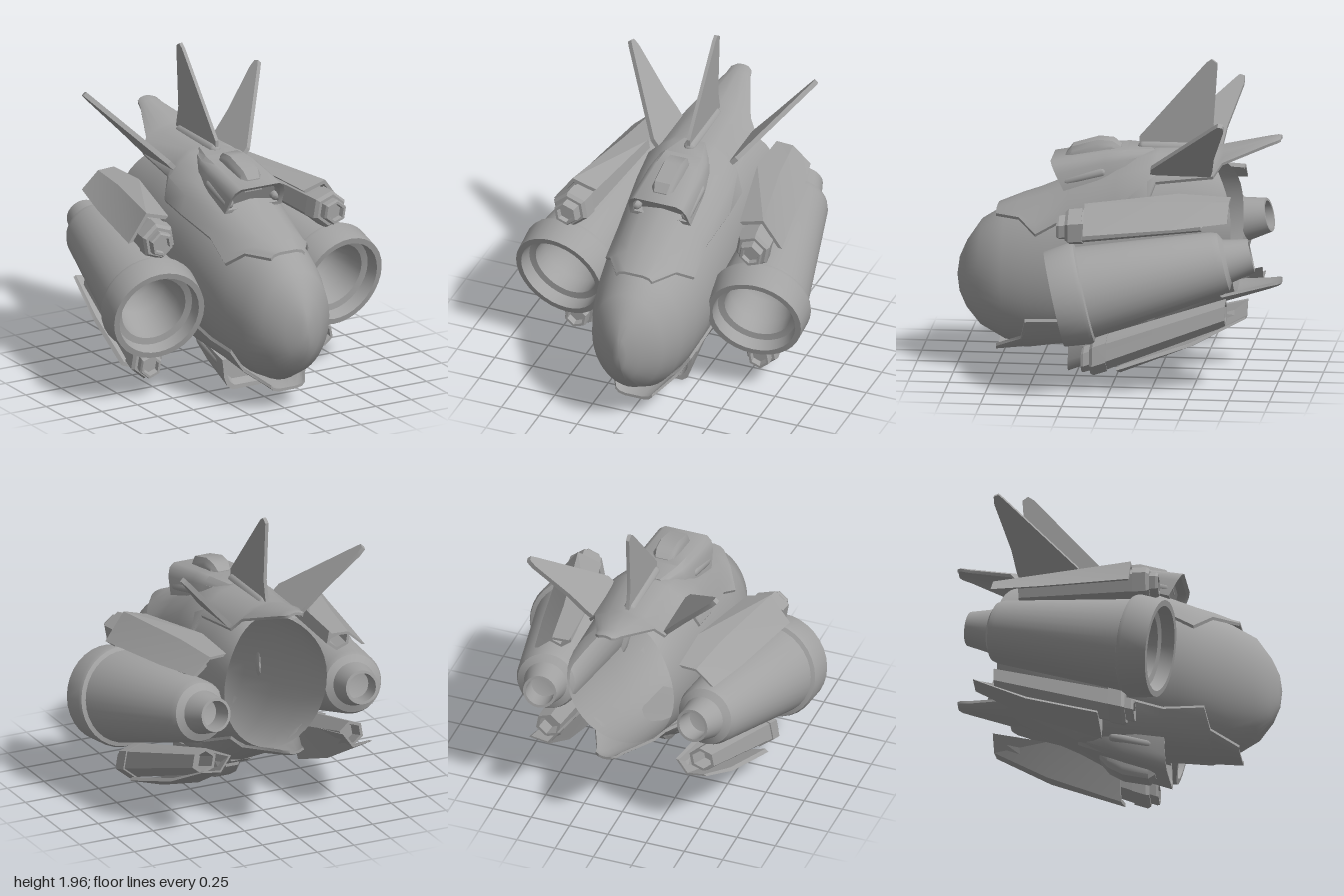
import * as THREE from 'three';
import { toCreasedNormals } from 'three/addons/utils/BufferGeometryUtils.js';

const material = new THREE.MeshStandardMaterial({ color: 0xa2a2a2, side: THREE.DoubleSide });

// Height of the tilted centre line of the ship
const axis = z => 0.57 + 0.266 * (0.75 - z);

function mesh(name, geometry, crease = 0.6) {
  const m = new THREE.Mesh(toCreasedNormals(geometry, crease), material);
  m.name = name;
  return m;
}

// Skin closed rings of [x, y, z] points; faces are turned outward by signed volume
function loft(rings, capped = true) {
  const n = rings[0].length, pts = rings.flat(), index = [];
  for (let r = 0; r < rings.length - 1; r++) {
    for (let i = 0; i < n; i++) {
      const a = r * n + i, b = r * n + (i + 1) % n;
      index.push(a, b, a + n, b, b + n, a + n);
    }
  }
  if (capped) {
    const last = (rings.length - 1) * n;
    for (let i = 0; i < n / 2 - 1; i++) {
      const [a, b, c, d] = [i, i + 1, n - 2 - i, n - 1 - i];
      index.push(a, c, b, a, d, c);
      index.push(last + a, last + b, last + c, last + a, last + c, last + d);
    }
  }
  const v = pts.map(p => new THREE.Vector3(...p));
  const origin = new THREE.Box3().setFromPoints(v).getCenter(new THREE.Vector3());
  v.forEach(p => p.sub(origin));
  let volume = 0;
  for (let i = 0; i < index.length; i += 3) {
    volume += v[index[i]].dot(v[index[i + 1]].clone().cross(v[index[i + 2]]));
  }
  if (volume < 0) index.reverse();
  const g = new THREE.BufferGeometry();
  g.setAttribute('position', new THREE.Float32BufferAttribute(pts.flat(), 3));
  g.setIndex(index);
  return g;
}

// Egg-shaped hull, open at the back: z, centre y, half width, half height, cut-back of the upper rim
function hull() {
  const rows = [
    [1, 0.57, 0, 0, 0], [0.985, 0.57, 0.045, 0.11, 0], [0.94, 0.575, 0.125, 0.21, 0], [0.85, 0.59, 0.235, 0.33, 0],
    [0.7, 0.595, 0.295, 0.42, 0], [0.55, 0.62, 0.33, 0.46, 0], [0.4, 0.66, 0.35, 0.49, 0], [0, 0.77, 0.355, 0.53, 0],
    [-0.4, 0.87, 0.355, 0.49, 0], [-0.72, 0.92, 0.35, 0.41, 0.13]];
  const rings = rows.map(([z, c, w, h, cut]) => Array.from({ length: 40 }, (_, i) => {
    const t = i / 40 * Math.PI * 2;
    return [w * Math.cos(t), c + h * Math.sin(t), z + cut * Math.max(0, Math.sin(t)) ** 3];
  }));
  return mesh('hull', loft(rings, false), 0.9);
}

// Long armour shell over the hull; sign -1 gives the belly one with a steeper front corner
function armour(sign) {
  const [neck, corner] = sign > 0 ? [0.6, 0.49] : [0.585, 0.555];
  const rows = [
    [0.75, [0, 0.45], [0.06, 0.45], [0.10, 0.44], [0.11, 0.43], [0.12, 0.42]],
    [neck, [0, 0.48], [0.10, 0.465], [0.17, 0.42], [0.20, 0.40], [0.22, 0.385]],
    [corner, [0, 0.49], [0.12, 0.47], [0.20, 0.41], [0.26, 0.33], [0.295, 0.27]],
    [0.3, [0, 0.53], [0.13, 0.50], [0.20, 0.45], [0.26, 0.38], [0.29, 0.33]],
    [0, [0, 0.58], [0.13, 0.565], [0.22, 0.50], [0.29, 0.43], [0.325, 0.32]],
    [-0.2, [0, 0.59], [0.14, 0.57], [0.22, 0.51], [0.295, 0.44], [0.325, 0.30]],
    [-0.25, [0, 0.585], [0.13, 0.56], [0.20, 0.51], [0.25, 0.46], [0.275, 0.42]],
    [-0.6, [0, 0.50], [0.11, 0.475], [0.18, 0.42], [0.23, 0.385], [0.25, 0.365]],
    [-0.65, [0, 0.495], [0.10, 0.475], [0.15, 0.45], [0.18, 0.435], [0.195, 0.425]],
    [-0.92, [0, 0.48], [0.04, 0.475], [0.06, 0.465], [0.075, 0.455], [0.08, 0.45]],
    [-0.975, [0, 0.475], [0.03, 0.472], [0.05, 0.465], [0.06, 0.46], [0.067, 0.455]],
    [-0.995, [0, 0.468], [0.02, 0.466], [0.03, 0.463], [0.038, 0.46], [0.042, 0.456]]];
  const rings = rows.map(([z, ...half]) => {
    const outer = [...half.slice(1).reverse().map(([x, d]) => [-x, d]), ...half];
    const inner = outer.map(([x, d]) => [x * 0.97, d - 0.018]).reverse();
    return [...outer, ...inner].map(([x, d]) => [x, axis(z) + sign * d, z]);
  });
  return mesh(sign > 0 ? 'topArmour' : 'bellyArmour', loft(rings), 0.7);
}

// Hooded cowl with a recessed front, a raised block and side pods
function cowl(sign, shellShift, blockShift, slope) {
  const group = new THREE.Group();
  group.name = sign > 0 ? 'topCowl' : 'bellyCowl';
  const ring = (z, w, top, base, slant = 0) => {
    const half = [[w, base], [0.95 * w, base + 0.6 * (top - base)], [0.85 * w, top - 0.025], [0.68 * w, top]];
    return [...half.map(([x, d]) => [-x, d]), ...half.reverse()].map(([x, d]) => {
      const pz = z + slant * (d - base);
      return [x, axis(pz) + sign * d, pz];
    });
  };
  const s = shellShift, b = blockShift;
  group.add(mesh('cowlShell', loft([
    ring(0.28 + s, 0.165, 0.635, 0.50, slope), ring(0.325 + s, 0.175, 0.65, 0.50, slope),
    ring(0.325 + s, 0.2, 0.675, 0.48, slope), ring(0.05 + s, 0.19, 0.65, 0.50, 0.2),
    ring(-0.05 + s, 0.175, 0.63, 0.50), ring(-0.22 + s, 0.1, 0.585, 0.52)]), 0.7));
  group.add(mesh('cowlBlock', loft([
    ring(0.33 + b, 0.06, 0.675, 0.6), ring(0.29 + b, 0.075, 0.715, 0.6), ring(0.13 + b, 0.078, 0.72, 0.6),
    ring(0.04 + b, 0.075, 0.69, 0.6), ring(-0.01 + b, 0.06, 0.64, 0.58)])));
  for (const x of [-0.165, 0.165]) {
    const pod = mesh('cowlPod', new THREE.CapsuleGeometry(0.033, 0.22, 4, 12));
    pod.rotation.x = Math.PI / 2 + 0.28;
    pod.position.set(x, axis(0.2 + b) + sign * 0.535, 0.2 + b);
    group.add(pod);
  }
  return group;
}

// Thin fin from an outline of [distance back, height]
function finGeometry(points, thickness) {
  const shape = new THREE.Shape(points.map(p => new THREE.Vector2(...p)));
  return new THREE.ExtrudeGeometry(shape, { depth: thickness, bevelEnabled: false })
    .translate(0, 0, -thickness / 2).rotateY(Math.PI / 2);
}

// Tilted engine barrel with a hollow intake and a hollow nozzle
function engine() {
  const front = new THREE.Vector3(0.645, 0.59, 0.335), back = new THREE.Vector3(0.498, 0.86, -0.86);
  const profile = [
    [0, 0.42], [0.1, 0.4], [0.17, 0.33], [0.205, 0.2], [0.21, 0.09], [0.25, 0.08], [0.262, 0], [0.298, 0],
    [0.318, 0.16], [0.31, 0.185], [0.285, 0.195], [0.195, 1.02], [0.18, 1.06], [0.135, 1.085],
    [0.105, 1.235], [0.088, 1.235], [0.085, 1.1], [0, 1.08]];
  const g = new THREE.LatheGeometry(profile.map(p => new THREE.Vector2(...p)), 32);
  const m = mesh('engine', g);
  m.quaternion.setFromUnitVectors(new THREE.Vector3(0, 1, 0), back.clone().sub(front).normalize());
  m.position.copy(front);
  return m;
}

// Hexagonal gun with nut, collar, hollow tail and a three-facet cover plate
function gun(name, start, end, turn, plateRows) {
  const group = new THREE.Group();
  group.name = name;
  const a = new THREE.Vector3(...start), b = new THREE.Vector3(...end);
  const center = t => a.clone().lerp(b, t);
  const profile = [
    [0.03, 0.05], [0, 0.055], [0, 0.072], [0.015, 0.08], [0.055, 0.08], [0.055, 0.1], [0.075, 0.118],
    [0.16, 0.12], [0.16, 0.11], [0.9, 0.085], [0.9, 0.065], [0.75, 0.065]];
  const rings = profile.map(([t, r]) => Array.from({ length: 6 }, (_, i) => {
    const p = center(t), w = turn + i * Math.PI / 3;
    return [p.x + r * Math.cos(w), p.y + r * Math.sin(w), p.z];
  }));
  group.add(mesh('gunBody', loft(rings), 0.3));
  const plate = plateRows.map(([z, ...outer]) => {
    const c = center((z - a.z) / (b.z - a.z));
    const inner = outer.map(([x, y]) => [x + (c.x - x) * 0.17, y + (c.y - y) * 0.17]).reverse();
    return [...outer, ...inner].map(([x, y]) => [x, y, z]);
  });
  group.add(mesh('gunCover', loft(plate), 0.3));
  return group;
}

// Add a part and its mirror image
function addPair(parent, part) {
  const twin = new THREE.Group();
  twin.name = part.name + 'Right';
  twin.add(part.clone());
  twin.scale.x = -1;
  parent.add(part, twin);
}

export function createModel() {
  const model = new THREE.Group();
  model.name = 'spaceship';

  // The body sits slightly to the left of the engines' middle
  const body = new THREE.Group();
  body.name = 'body';
  body.position.x = 0.023;
  body.add(hull(), armour(1), armour(-1), cowl(1, 0, 0, 0.45), cowl(-1, -0.03, -0.11, 0.05));

  // Upright tail fin on its spine
  body.add(mesh('tailFin', finGeometry([
    [0.12, 1.38], [0.12, 1.47], [0.53, 1.945], [0.565, 1.97], [0.6, 1.945], [0.575, 1.56], [0.61, 1.4]], 0.022), 0.3));
  const spine = mesh('finSpine', new THREE.CapsuleGeometry(0.04, 0.4, 4, 12));
  spine.rotation.x = Math.PI / 2;
  spine.position.set(0, 1.405, -0.35);
  body.add(spine);

  // Leaning side fins
  const fin = finGeometry([
    [0.21, -0.02], [0.22, 0.06], [0.64, 0.53], [0.67, 0.56], [0.7, 0.55], [0.7, 0.5], [0.62, 0.2], [0.6, 0.06],
    [0.58, -0.02]], 0.03).rotateZ(-0.74).translate(0.238, 1.3, 0);
  addPair(body, mesh('sideFin', fin, 0.3));
  model.add(body);

  // Engines and guns
  addPair(model, engine());
  addPair(model, gun('upperGun', [0.612, 1.035, 0.32], [0.475, 1.085, -0.65], 0.35, [
    [0.15, [0.475, 1.15], [0.63, 1.195], [0.755, 1.02]],
    [-0.4, [0.365, 1.205], [0.515, 1.195], [0.655, 1.05]],
    [-0.72, [0.36, 1.19], [0.47, 1.185], [0.585, 1.08]]]));
  addPair(model, gun('lowerGun', [0.605, 0.2, 0.17], [0.49, 0.53, -0.8], -0.35, [
    [-0.05, [0.69, 0.16], [0.46, 0.09], [0.4, 0.34]],
    [-0.5, [0.63, 0.31], [0.44, 0.27], [0.375, 0.48]],
    [-0.83, [0.58, 0.48], [0.45, 0.46], [0.38, 0.56]]]));
  return model;
}
